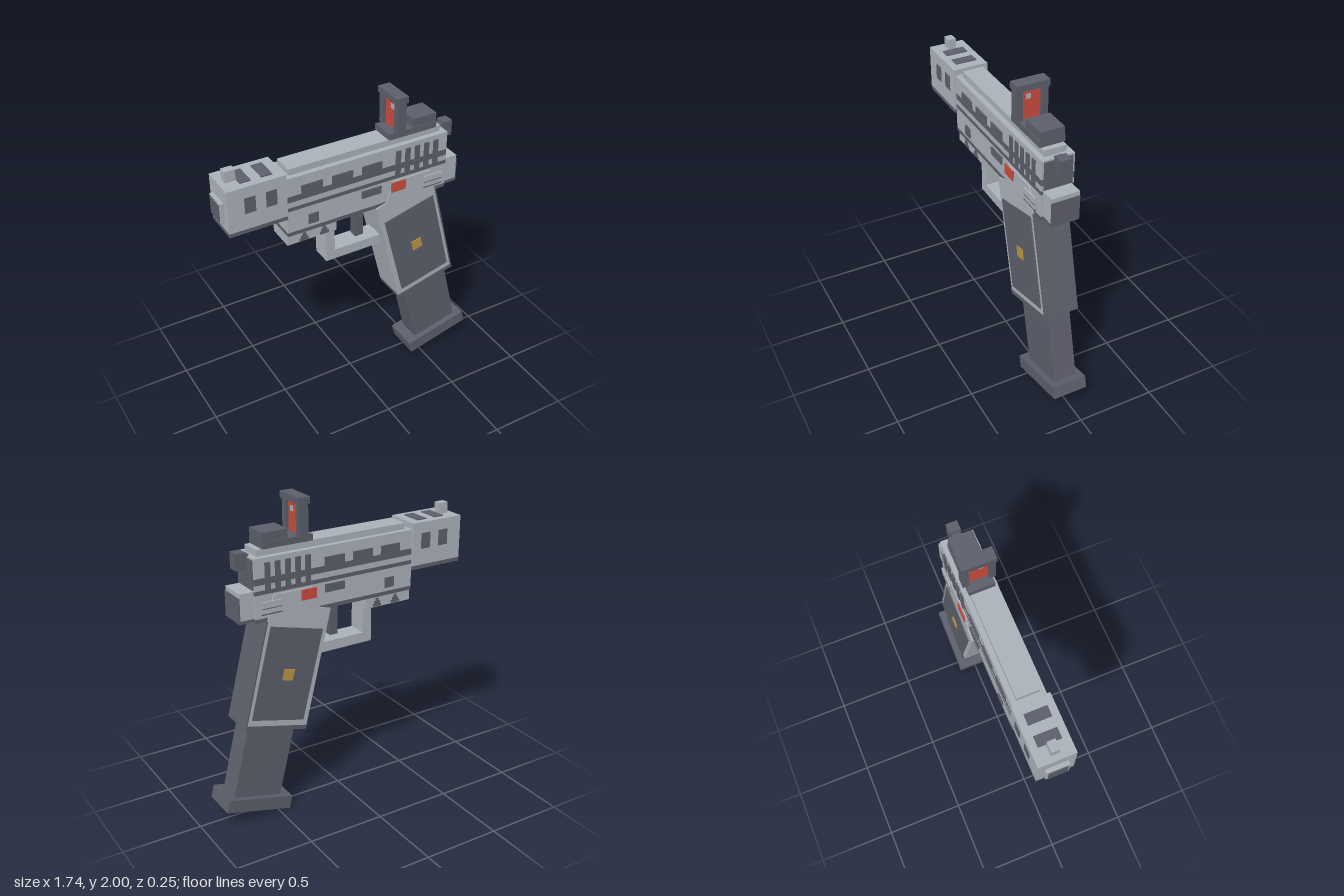
import * as THREE from 'three';

export function createModel() {
  const model = new THREE.Group();
  model.name = 'blockyPistol';

  const mat = (name, color) => {
    const m = new THREE.MeshStandardMaterial({ color });
    m.name = name;
    return m;
  };
  const light = mat('lightGrey', 0xaab1b9);
  const dark = mat('darkGrey', 0x5c5e6a);
  const red = mat('red', 0xc94b3c);
  const gold = mat('gold', 0xb8943f);

  const add = (name, geometry, material) => {
    const mesh = new THREE.Mesh(geometry, material);
    mesh.name = name;
    model.add(mesh);
    return mesh;
  };
  // Box given by its limits on each axis
  const box = (name, m, x0, x1, y0, y1, z0, z1) => {
    const g = new THREE.BoxGeometry(x1 - x0, y1 - y0, z1 - z0);
    g.translate((x0 + x1) / 2, (y0 + y1) / 2, (z0 + z1) / 2);
    return add(name, g, m);
  };
  // Box centred on z = 0
  const block = (name, m, x0, x1, y0, y1, h) => box(name, m, x0, x1, y0, y1, -h, h);
  // Thin plates on both flanks, from depth z outwards
  const plates = (name, m, x0, x1, y0, y1, z, t = 0.008) => {
    box(name + 'Left', m, x0, x1, y0, y1, z, z + t);
    box(name + 'Right', m, x0, x1, y0, y1, -z - t, -z);
  };
  // Side outline extruded across z0..z1
  const slab = (name, m, points, z0, z1) => {
    const shape = new THREE.Shape(points.map(p => new THREE.Vector2(...p)));
    const g = new THREE.ExtrudeGeometry(shape, { depth: z1 - z0, bevelEnabled: false });
    g.translate(0, 0, z0);
    return add(name, g, m);
  };
  const slabs = (name, m, points, z, t = 0.007) => {
    slab(name + 'Left', m, points, z, z + t);
    slab(name + 'Right', m, points, -z - t, -z);
  };

  // Slide and frame: stacked light and dark layers
  const layers = [1.30, 1.325, 1.47, 1.495, 1.53, 1.57, 1.69];
  for (let i = 0; i < layers.length - 1; i++) {
    block('bodyLayer' + i, i % 2 ? light : dark, -0.475, 0.62, layers[i], layers[i + 1], 0.103);
  }
  block('topRail', light, -0.44, 0.585, 1.69, 1.73, 0.07);
  block('slideBackPlate', dark, 0.62, 0.626, 1.5, 1.68, 0.09);

  // Muzzle block
  block('muzzleBlock', light, -0.84, -0.475, 1.455, 1.73, 0.115);
  block('muzzleUnderside', dark, -0.84, -0.475, 1.43, 1.455, 0.115);
  block('muzzleCap', light, -0.865, -0.84, 1.505, 1.635, 0.07);
  block('bore', dark, -0.87, -0.865, 1.515, 1.625, 0.058);
  block('frontSight', light, -0.805, -0.74, 1.73, 1.8, 0.025);
  for (const x of [-0.737, -0.605]) {
    plates('muzzleVent', dark, x, x + 0.067, 1.56, 1.66, 0.115, 0.004);
    block('topVent', dark, x, x + 0.067, 1.73, 1.736, 0.07);
  }

  // Flank details
  for (const x of [-0.38, -0.18, 0.02]) plates('slideWindow', dark, x, x + 0.137, 1.57, 1.625, 0.103);
  for (let i = 0; i < 5; i++) {
    const x = 0.253 + i * 0.0665;
    plates('serration', dark, x, x + 0.034, 1.495, 1.66, 0.103);
  }
  plates('framePlate', dark, 0.02, 0.155, 1.405, 1.455, 0.103);
  plates('framePin', dark, -0.34, -0.275, 1.35, 1.415, 0.103);
  plates('redSwitch', red, 0.22, 0.32, 1.39, 1.455, 0.114);
  plates('safetyLever', light, 0.455, 0.585, 1.358, 1.43, 0.113, 0.009);
  plates('safetyLeverEdge', dark, 0.455, 0.585, 1.35, 1.358, 0.113, 0.009);
  plates('safetyLeverLine', dark, 0.455, 0.585, 1.386, 1.391, 0.118, 0.005);

  // Rear block and hammer
  block('rearBlock', light, 0.62, 0.71, 1.33, 1.495, 0.09);
  block('rearBlockBase', dark, 0.62, 0.71, 1.31, 1.33, 0.09);
  block('rearBlockPlate', dark, 0.71, 0.716, 1.31, 1.468, 0.09);
  block('hammerStem', dark, 0.61, 0.64, 1.64, 1.7, 0.025);
  block('hammer', dark, 0.635, 0.7, 1.615, 1.715, 0.035);

  // Dust cover with stepped dark notches, trigger guard and trigger
  block('dustCover', light, -0.475, -0.145, 1.23, 1.3, 0.09);
  for (const x of [-0.365, -0.23]) {
    for (let i = 0; i < 3; i++) {
      const w = 0.03 - i * 0.01;
      plates('notch', dark, x - w, x + w, 1.235 + i * 0.018, 1.253 + i * 0.018, 0.09, 0.004);
    }
  }
  block('guardFront', light, -0.205, -0.145, 1.065, 1.23, 0.065);
  block('guardBottom', light, -0.205, 0.23, 1.0, 1.065, 0.065);
  block('trigger', dark, 0.02, 0.075, 1.085, 1.3, 0.03);

  // Slanted grip with dark back, foot and side panels
  slab('grip', light, [[0.12, 1.3], [0.3, 0.562], [0.705, 0.663], [0.545, 1.3],
    [0.53, 1.38], [0.5, 1.46], [0.24, 1.46], [0.195, 1.32]], -0.113, 0.113);
  slab('gripBack', dark, [[0.705, 0.663], [0.715, 0.666], [0.555, 1.3], [0.545, 1.3]], -0.113, 0.113);
  slab('gripFoot', dark, [[0.3, 0.562], [0.306, 0.536], [0.721, 0.64], [0.715, 0.666]], -0.115, 0.115);
  slabs('gripPanel', dark, [[0.18, 1.18], [0.325, 0.608], [0.675, 0.697], [0.53, 1.27]], 0.113);
  slabs('gripBadge', gold, [[0.38, 0.965], [0.397, 0.897], [0.465, 0.914], [0.448, 0.982]], 0.12, 0.006);

  // Magazine
  slab('magazine', dark, [[0.355, 0.6], [0.48, 0.09], [0.797, 0.17], [0.672, 0.68]], -0.075, 0.075);
  slab('magazineBase', dark, [[0.41, 0.083], [0.43, 0.0], [0.866, 0.11], [0.846, 0.19]], -0.113, 0.113);

  // Optic: base, battery block and framed red lens
  block('opticBase', dark, 0.22, 0.55, 1.73, 1.77, 0.08);
  block('opticBlock', dark, 0.385, 0.55, 1.77, 1.825, 0.075);
  for (const s of [-1, 1]) {
    box('opticPost', dark, 0.26, 0.32, 1.77, 1.96, Math.min(s * 0.06, s * 0.1), Math.max(s * 0.06, s * 0.1));
  }
  block('opticTop', dark, 0.25, 0.33, 1.96, 2.0, 0.105);
  block('opticLens', red, 0.28, 0.3, 1.77, 1.96, 0.06);
  box('lensDot', light, 0.276, 0.304, 1.895, 1.925, 0.002, 0.032);

  return model;
}
